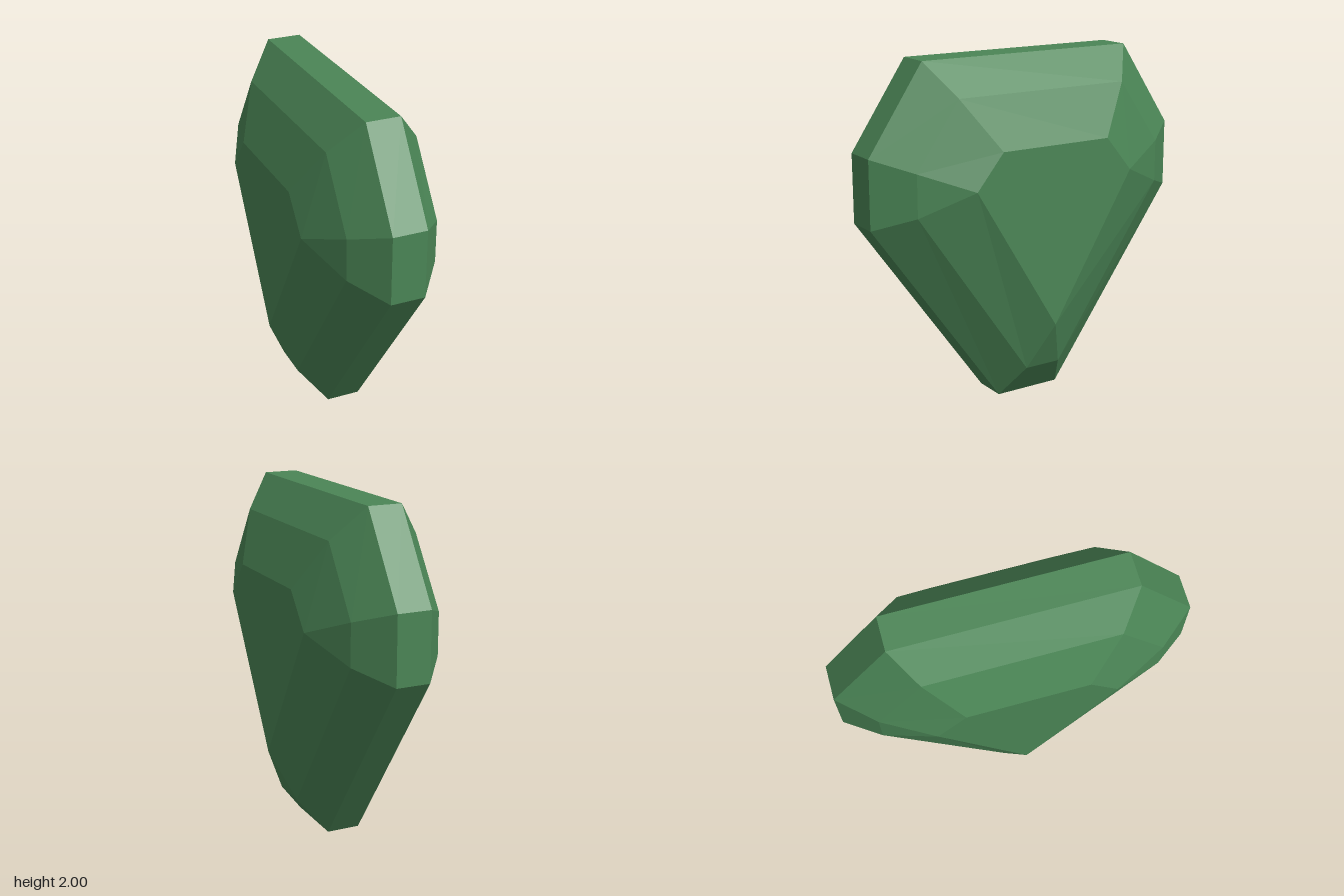
import * as THREE from 'three';

// Outlines of one half as [z, y], from girdle to table; mirrored in z and stacked along x.
const girdle = [[0.2, 0], [1, 1.12], [1, 1.51], [0.67, 2]];
const bevel = [[0.11, 0.2], [0.8, 1.195], [0.8, 1.437], [0.54, 1.81]];
const table = [[0, 0.485], [0.51, 1.325], [0.51, 1.325], [0.345, 1.525]];

const layers = [
  [-0.388, table], [-0.258, bevel], [-0.098, girdle],
  [0.098, girdle], [0.258, bevel], [0.388, table],
];

function ring(x, half) {
  const other = half.map(([z, y]) => [-z, y]).reverse();
  return [...half, ...other].map(([z, y]) => new THREE.Vector3(x, y, z));
}

function facetedGeometry() {
  const positions = [];
  const tri = (a, b, c) => {
    // Skip facets that collapse where corners meet
    const area = b.clone().sub(a).cross(c.clone().sub(a)).length();
    if (area > 1e-6) for (const p of [a, b, c]) positions.push(p.x, p.y, p.z);
  };
  const rings = layers.map(([x, half]) => ring(x, half));
  const n = rings[0].length;

  // Bevel facets and girdle
  for (let i = 0; i < rings.length - 1; i++) {
    for (let j = 0; j < n; j++) {
      const k = (j + 1) % n;
      const a = rings[i][j], b = rings[i][k], c = rings[i + 1][k], d = rings[i + 1][j];
      tri(a, d, c);
      tri(a, c, b);
    }
  }

  // Flat tables on both sides
  const first = rings[0], last = rings[rings.length - 1];
  const left = new THREE.Vector3(last[0].x, 1.2, 0);
  const right = new THREE.Vector3(first[0].x, 1.2, 0);
  for (let j = 0; j < n; j++) {
    const k = (j + 1) % n;
    tri(left, last[k], last[j]);
    tri(right, first[j], first[k]);
  }

  const geometry = new THREE.BufferGeometry();
  geometry.setAttribute('position', new THREE.Float32BufferAttribute(positions, 3));
  geometry.computeVertexNormals(); // unshared corners keep every facet flat
  return geometry;
}

export function createModel() {
  const group = new THREE.Group();
  group.name = 'gemstone';
  const green = new THREE.MeshStandardMaterial({ color: 0x4b8656 });
  green.name = 'gem green';
  const gem = new THREE.Mesh(facetedGeometry(), green);
  gem.name = 'cutGem';
  group.add(gem);
  return group;
}
